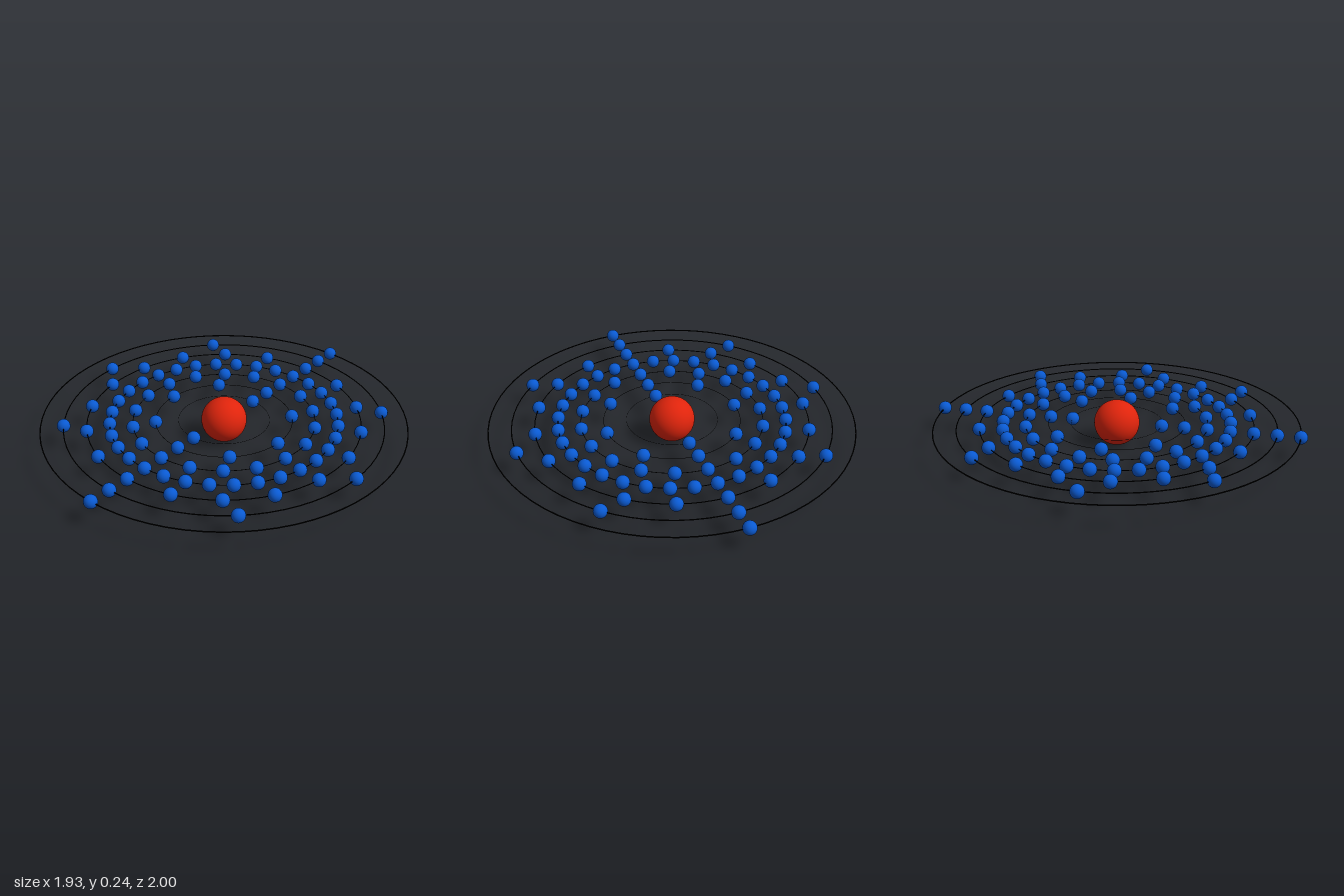
import * as THREE from 'three';

const CENTER_Y = 0.1225;
const SHELL_STEP = 0.1205;
const ELECTRONS_PER_SHELL = [2, 8, 18, 32, 18, 8, 2];

export function createModel() {
  const model = new THREE.Group();
  model.name = 'atomModel';

  const red = new THREE.MeshStandardMaterial({ color: 0xe0240c });
  const blue = new THREE.MeshStandardMaterial({ color: 0x0a5ad2 });
  const black = new THREE.MeshStandardMaterial({ color: 0x000000 });

  // Nucleus
  const nucleus = new THREE.Mesh(new THREE.SphereGeometry(0.12, 48, 32), red);
  nucleus.name = 'nucleus';
  nucleus.position.y = CENTER_Y;
  model.add(nucleus);

  // Shells: a thin orbit ring carrying evenly spaced electrons
  const electronGeometry = new THREE.SphereGeometry(0.0355, 20, 14);
  ELECTRONS_PER_SHELL.forEach((count, i) => {
    const radius = SHELL_STEP * (i + 2);
    const shell = new THREE.Group();
    shell.name = `shell${i + 1}`;
    shell.position.y = CENTER_Y;

    // The ring's wire thickens with its radius
    const orbit = new THREE.Mesh(new THREE.TorusGeometry(radius, radius * 0.0035, 6, 72), black);
    orbit.name = 'orbitRing';
    orbit.rotation.x = Math.PI / 2;
    shell.add(orbit);

    for (let k = 0; k < count; k++) {
      const angle = (k / count) * Math.PI * 2;
      const electron = new THREE.Mesh(electronGeometry, blue);
      electron.name = 'electron';
      electron.position.set(radius * Math.sin(angle), 0, -radius * Math.cos(angle));
      shell.add(electron);
    }
    model.add(shell);
  });

  return model;
}
